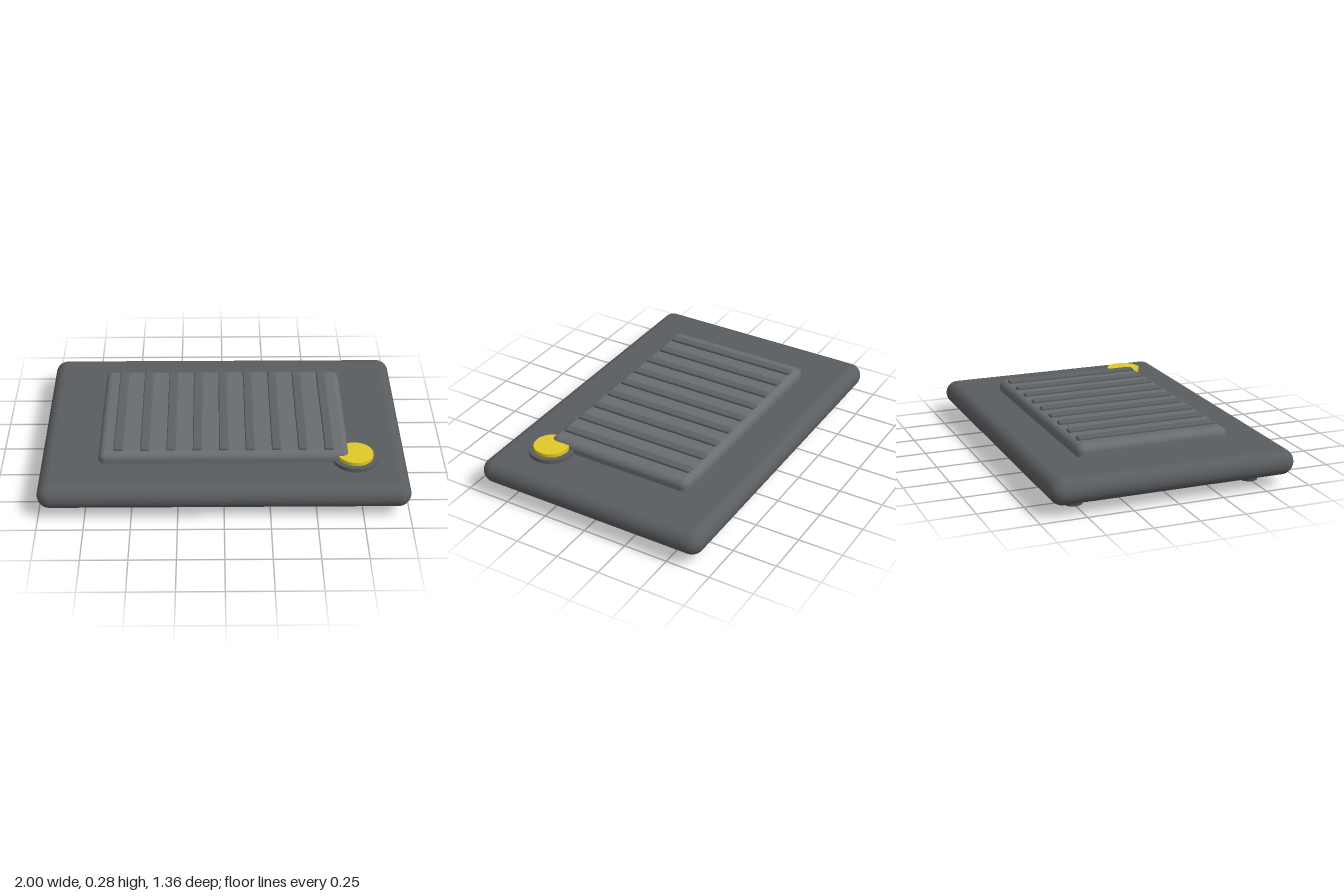
import * as THREE from 'three';
import { RoundedBoxGeometry } from 'three/addons/geometries/RoundedBoxGeometry.js';

export function createModel() {
  const group = new THREE.Group();
  const mat = (color) => new THREE.MeshStandardMaterial({ color });
  const bodyMat = mat(0x5a5d60);
  const panelMat = mat(0x6a6d70);
  const ribMat = mat(0x5e6164);
  const footMat = mat(0x4a4a4a);
  const buttonMat = mat(0xe0c828);

  function add(name, geometry, material, x, y, z) {
    const mesh = new THREE.Mesh(geometry, material);
    mesh.name = name;
    mesh.position.set(x, y, z);
    group.add(mesh);
    return mesh;
  }

  // Slab with fully rounded rim
  add('base', new RoundedBoxGeometry(2, 0.14, 1.36, 8, 0.07), bodyMat, 0, 0.13, 0);

  // Raised panel, its lower half sunk into the slab
  add('raisedPanel', new RoundedBoxGeometry(1.36, 0.1, 0.86, 6, 0.04), panelMat, 0, 0.212, 0);

  // Row of ribs running front to back
  const ribGeometry = new RoundedBoxGeometry(0.05, 0.03, 0.79, 3, 0.008);
  for (let i = 0; i < 9; i++) {
    add('rib' + (i + 1), ribGeometry, ribMat, (i - 4) * 0.143, 0.262, 0);
  }

  // Round button on its collar, at the front left corner of the panel
  add('buttonCollar', new THREE.CylinderGeometry(0.125, 0.125, 0.03, 48), bodyMat, 0.715, 0.207, 0.395);
  add('button', new THREE.CylinderGeometry(0.097, 0.097, 0.03, 48), buttonMat, 0.715, 0.227, 0.395);

  // Four feet
  const footGeometry = new THREE.CylinderGeometry(0.05, 0.05, 0.08, 32);
  for (const x of [-0.785, 0.785]) {
    for (const z of [-0.5, 0.5]) add('foot', footGeometry, footMat, x, 0.04, z);
  }

  return group;
}
